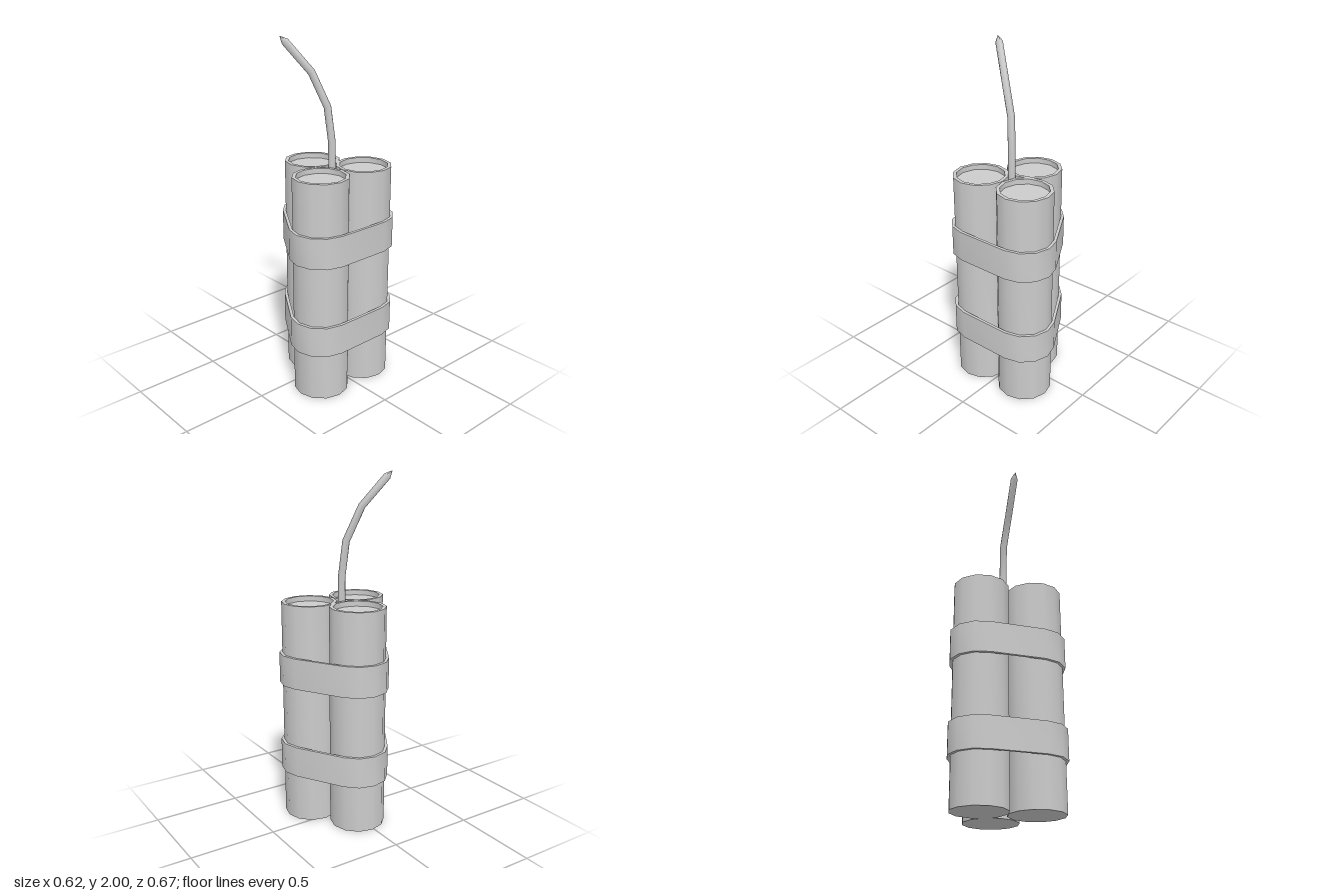
import * as THREE from 'three';
import { toCreasedNormals } from 'three/addons/utils/BufferGeometryUtils.js';

const CREASE = 0.7;
const STICK_R = 0.158, STICK_H = 1.285;
const CENTRES = [[0.132, 0.158], [-0.133, -0.01], [0.132, -0.16]]; // x, z

// Outline wrapped round the three sticks at a given radius
function wrapPoints(radius) {
  const points = [];
  CENTRES.forEach(([x, z], i) => {
    for (let k = 0; k <= 4; k++) {
      const a = i * Math.PI * 2 / 3 + k * Math.PI / 6;
      points.push(new THREE.Vector2(x + radius * Math.cos(a), z + radius * Math.sin(a)));
    }
  });
  return points;
}

// Straight pieces joined with mitred corners, one tube ring per point
class Polyline extends THREE.Curve {
  constructor(points) {
    super();
    this.points = points;
  }
  getPoint(t, target = new THREE.Vector3()) {
    const s = t * (this.points.length - 1);
    const i = Math.min(Math.floor(s), this.points.length - 2);
    return target.lerpVectors(this.points[i], this.points[i + 1], s - i);
  }
  getPointAt(t, target) { return this.getPoint(t, target); }
  getTangentAt(t, target) { return this.getTangent(t, target); }
}

export function createModel() {
  const group = new THREE.Group();
  const material = new THREE.MeshStandardMaterial({ color: 0xcccccc });
  const add = (name, geometry) => {
    const mesh = new THREE.Mesh(geometry, material);
    mesh.name = name;
    group.add(mesh);
    return mesh;
  };

  // Sticks with a raised rim round a sunken lid
  const profile = [
    [0, 0], [STICK_R, 0], [STICK_R, STICK_H], [0.137, STICK_H],
    [0.137, STICK_H - 0.03], [0, STICK_H - 0.03],
  ].map(([r, y]) => new THREE.Vector2(r, y));
  const stick = toCreasedNormals(new THREE.LatheGeometry(profile, 12), CREASE);
  CENTRES.forEach(([x, z], i) => {
    add('stick' + (i + 1), stick).position.set(x, 0, z);
  });

  // Bands strapped round the bundle
  const outline = new THREE.Shape(wrapPoints(0.175));
  outline.holes.push(new THREE.Path(wrapPoints(STICK_R)));
  const band = new THREE.ExtrudeGeometry(outline, { depth: 0.178, bevelEnabled: false });
  band.rotateX(Math.PI / 2);
  const bandGeometry = toCreasedNormals(band, CREASE);
  add('lowerBand', bandGeometry).position.y = 0.459;
  add('upperBand', bandGeometry).position.y = 0.99;

  // Bent fuse, closing to a point at the tip
  const path = [
    [0.048, 1.2, 0.002], [0.048, 1.42, 0.003], [0.031, 1.62, 0.021],
    [-0.009, 1.81, 0.098], [-0.09, 1.97, 0.208], [-0.106, 2.0, 0.231],
  ].map((p) => new THREE.Vector3(...p));
  const sides = 6;
  const fuse = new THREE.TubeGeometry(new Polyline(path), path.length - 1, 0.021, sides);
  const tip = path[path.length - 1];
  const position = fuse.attributes.position;
  for (let i = position.count - sides - 1; i < position.count; i++) {
    position.setXYZ(i, tip.x, tip.y, tip.z);
  }
  add('fuse', toCreasedNormals(fuse, 1.1));

  return group;
}
